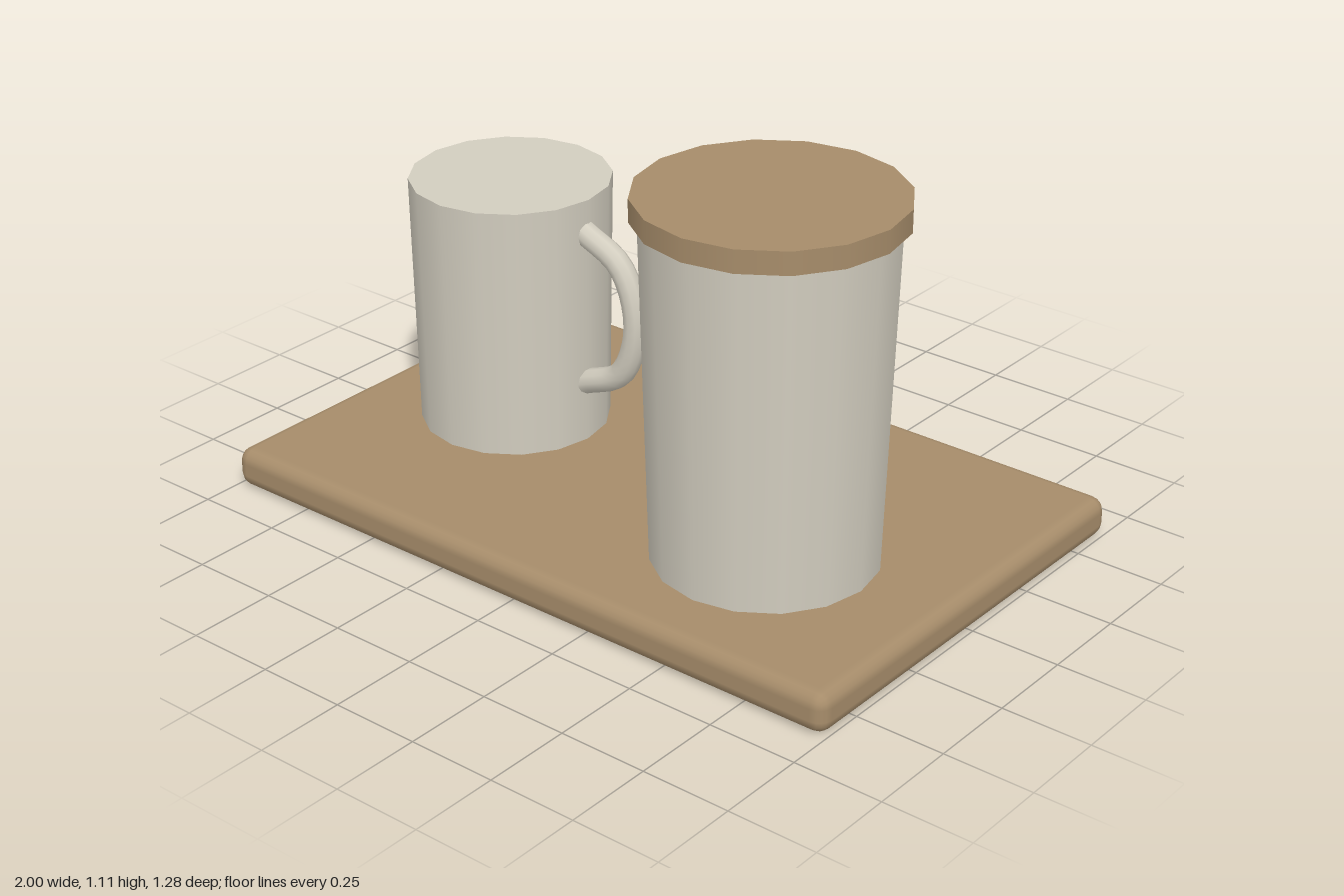
import * as THREE from 'three';
import { RoundedBoxGeometry } from 'three/addons/geometries/RoundedBoxGeometry.js';

const SIDES = 16;

export function createModel() {
  const model = new THREE.Group();
  const wood = new THREE.MeshStandardMaterial({ color: 0xa68c6a });
  const ceramic = new THREE.MeshStandardMaterial({ color: 0xd2cdbf });

  const add = (parent, name, geometry, material, x = 0, y = 0, z = 0) => {
    const mesh = new THREE.Mesh(geometry, material);
    mesh.name = name;
    mesh.position.set(x, y, z);
    parent.add(mesh);
    return mesh;
  };

  // Closed cylinder spanning y0 to y1
  const drum = (parent, name, material, rTop, rBottom, y0, y1) =>
    add(parent, name, new THREE.CylinderGeometry(rTop, rBottom, y1 - y0, SIDES), material, 0, (y0 + y1) / 2, 0);

  // Serving board with softened edges
  add(model, 'board', new RoundedBoxGeometry(2, 0.114, 1.28, 2, 0.04), wood, 0, 0.057, 0);

  // Mug with side handle
  const mug = new THREE.Group();
  mug.name = 'mug';
  mug.position.set(-0.537, 0, 0);
  drum(mug, 'mugBody', ceramic, 0.277, 0.264, 0.124, 0.84);
  const handlePath = new THREE.CatmullRomCurve3([
    [0.257, 0.745], [0.387, 0.675], [0.437, 0.525], [0.387, 0.363], [0.257, 0.298],
  ].map(([x, y]) => new THREE.Vector3(x, y, 0)));
  add(mug, 'mugHandle', new THREE.TubeGeometry(handlePath, 20, 0.034, 10), ceramic);
  model.add(mug);

  // Tapered canister with overhanging wooden lid
  const canister = new THREE.Group();
  canister.name = 'canister';
  canister.position.set(0.477, 0, 0.177);
  drum(canister, 'canisterBody', ceramic, 0.328, 0.3, 0.114, 1.045);
  drum(canister, 'canisterLid', wood, 0.349, 0.349, 1.052, 1.114);
  model.add(canister);

  return model;
}
